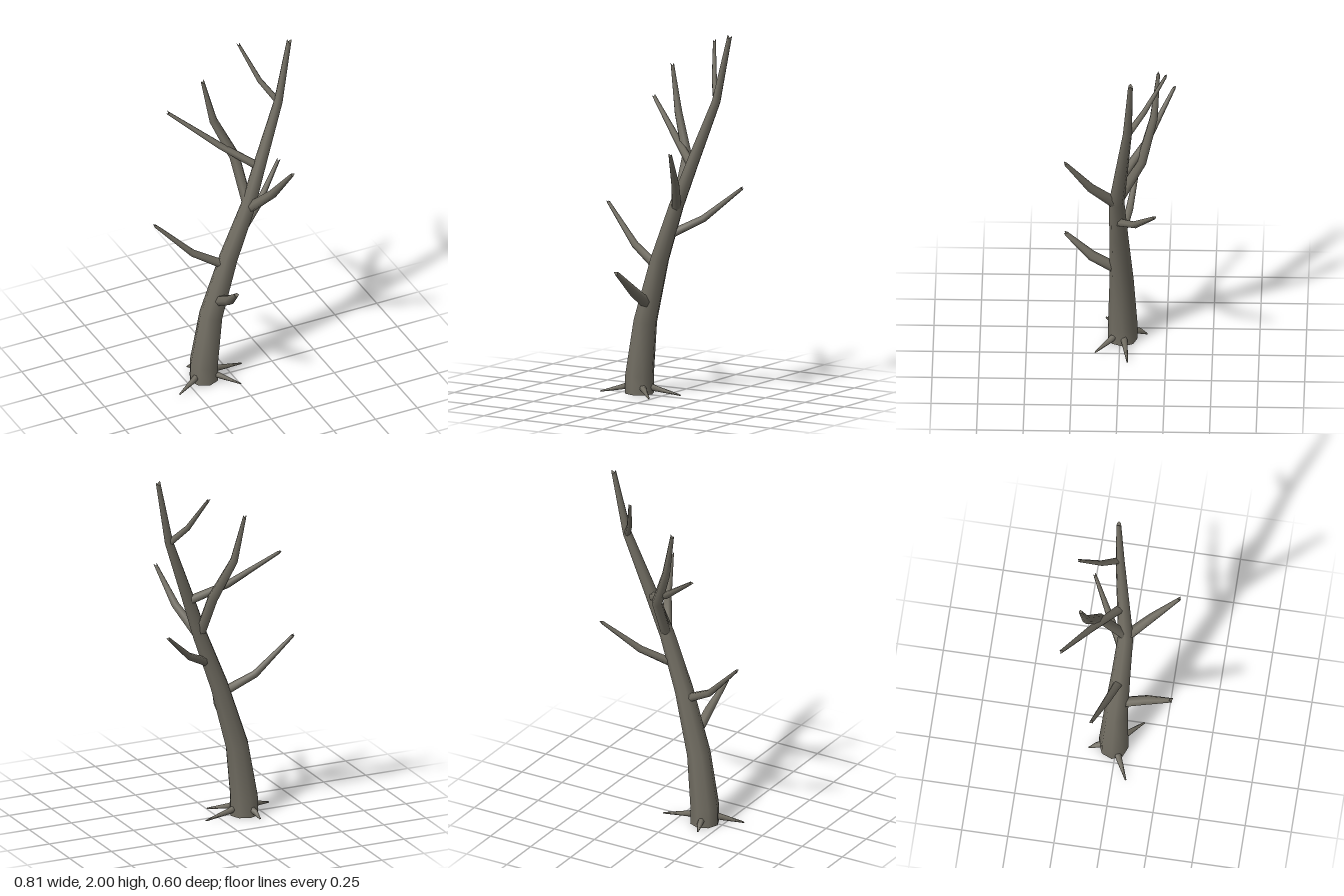
import * as THREE from 'three';

const bark = new THREE.MeshStandardMaterial({ color: 0x716d62, side: THREE.DoubleSide });
bark.name = 'greyBark';

// Tapered limb lofted through [x, y, z, radius] stations, with a small notched, hollow tip
function limb(name, stations, sides, notch) {
  const pts = stations.map(s => new THREE.Vector3(s[0], s[1], s[2]));
  const last = pts.length - 1;
  const pos = [], index = [];
  const u = new THREE.Vector3(1, 0, 0);
  let t;
  pts.forEach((p, i) => {
    // Ring plane halves the bend; u is carried along so the limb does not twist
    const before = p.clone().sub(pts[Math.max(i - 1, 0)]).normalize();
    const after = pts[Math.min(i + 1, last)].clone().sub(p).normalize();
    t = before.add(after).normalize();
    if (i === 0 && Math.abs(t.x) > 0.8) u.set(0, 0, 1);
    u.addScaledVector(t, -u.dot(t)).normalize();
    const v = t.clone().cross(u);
    for (let j = 0; j < sides; j++) {
      const a = (j / sides) * Math.PI * 2;
      const r = stations[i][3];
      const q = p.clone().addScaledVector(u, Math.cos(a) * r).addScaledVector(v, Math.sin(a) * r);
      if (i === last) q.addScaledVector(t, notch * Math.cos(2 * a));
      pos.push(q.x, q.y, q.z);
    }
  });
  for (let i = 0; i < last; i++) {
    for (let j = 0; j < sides; j++) {
      const a = i * sides + j, b = i * sides + (j + 1) % sides;
      index.push(a, b, a + sides, b, b + sides, a + sides);
    }
  }
  // Sunken tip and flat foot, on their own vertices so the rims stay sharp
  const cap = (ring, centre, flip) => {
    const start = pos.length / 3;
    for (let j = 0; j < sides; j++) {
      const k = (ring * sides + j) * 3;
      pos.push(pos[k], pos[k + 1], pos[k + 2]);
    }
    pos.push(centre.x, centre.y, centre.z);
    for (let j = 0; j < sides; j++) {
      const a = start + j, b = start + (j + 1) % sides, c = start + sides;
      index.push(...(flip ? [b, a, c] : [a, b, c]));
    }
  };
  cap(last, pts[last].clone().addScaledVector(t, -notch), false);
  cap(0, pts[0], true);

  const g = new THREE.BufferGeometry();
  g.setAttribute('position', new THREE.Float32BufferAttribute(pos, 3));
  g.setIndex(index);
  g.computeVertexNormals();
  const mesh = new THREE.Mesh(g, bark);
  mesh.name = name;
  return mesh;
}

export function createModel() {
  const tree = new THREE.Group();
  tree.name = 'bareTree';

  // Leaning trunk
  tree.add(limb('trunk', [
    [-0.15, 0, -0.015, 0.08], [-0.15, 0.1, -0.015, 0.079], [-0.11, 0.4, -0.01, 0.065],
    [-0.01, 0.75, 0.003, 0.051], [0.1, 1.05, 0.012, 0.041], [0.19, 1.3, -0.015, 0.034],
    [0.313, 1.63, -0.05, 0.024], [0.386, 1.985, -0.068, 0.013],
  ], 8, 0.01));

  // Branches, from lowest to highest
  const branches = {
    lowFrontBranch: [[-0.08, 0.5, 0.02, 0.03], [-0.078, 0.58, 0.15, 0.028], [-0.105, 0.705, 0.29, 0.012]],
    lowRightBranch: [[-0.04, 0.71, 0, 0.025], [-0.2, 0.8, -0.05, 0.02], [-0.4, 1.005, -0.1, 0.009]],
    lowLeftBranch: [[0.06, 0.89, 0.005, 0.024], [0.21, 0.975, -0.085, 0.02], [0.385, 1.14, -0.197, 0.009]],
    midFrontBranch: [[0.105, 1.045, 0.02, 0.03], [0.18, 1.19, 0.15, 0.024], [0.232, 1.38, 0.285, 0.01]],
    forkBranch: [[0.1, 1.08, -0.005, 0.03], [0.085, 1.3, -0.12, 0.03], [-0.01, 1.52, -0.185, 0.023], [-0.062, 1.77, -0.208, 0.01]],
    longBackBranch: [[0.19, 1.26, -0.01, 0.025], [0.01, 1.375, -0.145, 0.02], [-0.23, 1.57, -0.29, 0.009]],
    topBackBranch: [[0.31, 1.63, -0.055, 0.018], [0.245, 1.73, -0.14, 0.015], [0.175, 1.915, -0.253, 0.008]],
  };
  for (const [name, stations] of Object.entries(branches)) tree.add(limb(name, stations, 6, 0.01));

  // Thin roots: [tip x, tip z] spreading from the foot of the trunk
  const roots = [[-0.34, 0.078], [-0.185, -0.145], [0, 0.13], [0.09, -0.045]];
  roots.forEach(([x, z], i) => {
    const d = new THREE.Vector2(x + 0.15, z + 0.015).normalize();
    const at = r => [-0.15 + d.x * r, -0.015 + d.y * r];
    const [ax, az] = at(0.05), [bx, bz] = at(0.095);
    tree.add(limb('root' + (i + 1), [
      [ax, 0.045, az, 0.02], [bx, 0.032, bz, 0.016], [x, 0.006, z, 0.004],
    ], 6, 0.002));
  });
  return tree;
}
